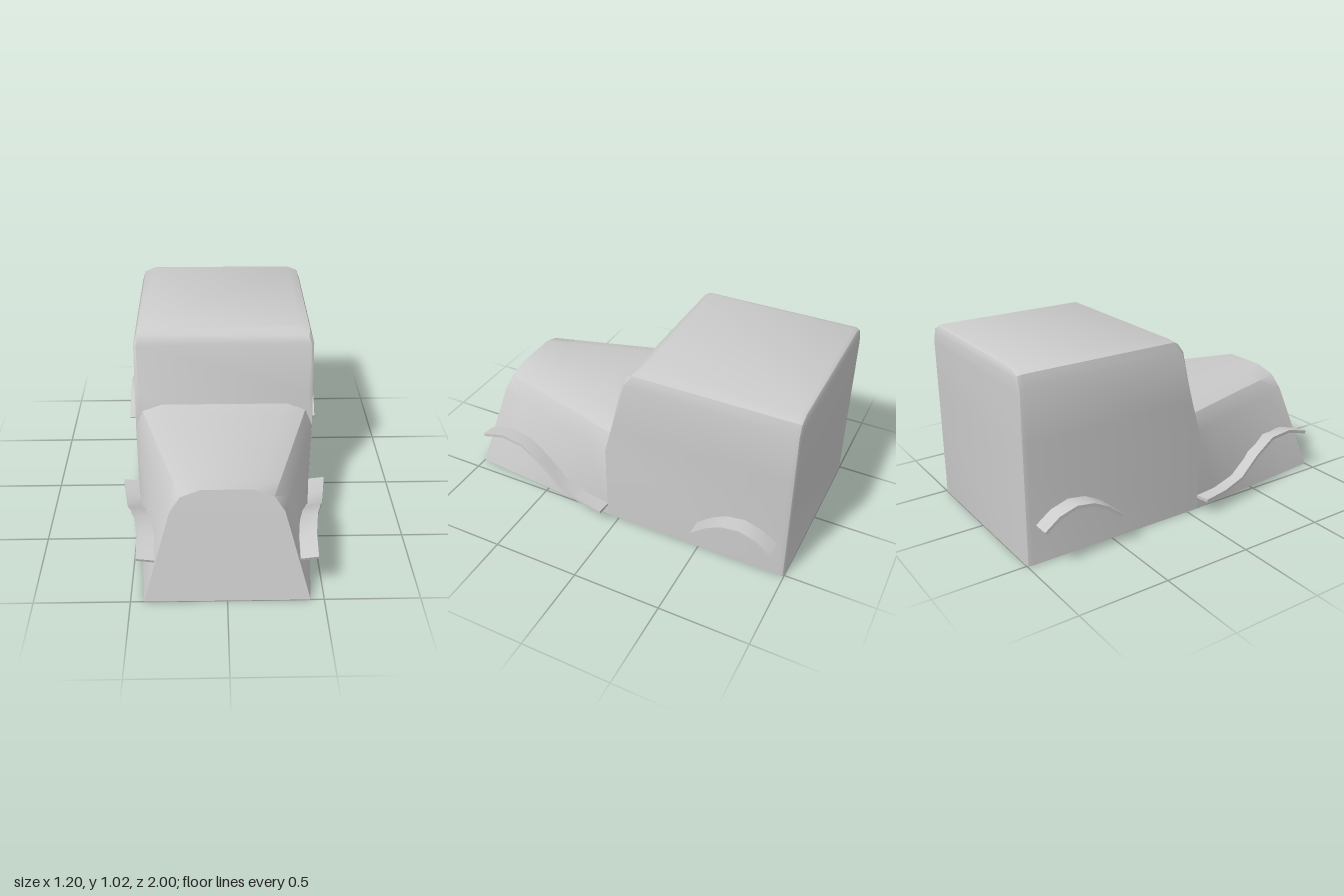
import * as THREE from 'three';
import { toCreasedNormals } from 'three/addons/utils/BufferGeometryUtils.js';

const material = new THREE.MeshStandardMaterial({ color: 0xcccccc });

// Skin over rings of [x, y, z] points, ordered back to front, each counterclockwise seen from +z.
function loft(name, rings, crease = 0.6) {
  const n = rings[0].length;
  const pos = [];
  const quad = (a, b, c, d) => pos.push(...a, ...b, ...c, ...a, ...c, ...d);
  for (let r = 0; r < rings.length - 1; r++) {
    for (let i = 0; i < n; i++) {
      const j = (i + 1) % n;
      quad(rings[r][i], rings[r][j], rings[r + 1][j], rings[r + 1][i]);
    }
  }
  // End caps, in strips between opposite points
  const back = rings[0], front = rings[rings.length - 1];
  for (let i = 0; i < n / 2 - 1; i++) {
    quad(front[i], front[i + 1], front[n - 2 - i], front[n - 1 - i]);
    quad(back[n - 1 - i], back[n - 2 - i], back[i + 1], back[i]);
  }
  const geometry = new THREE.BufferGeometry();
  geometry.setAttribute('position', new THREE.Float32BufferAttribute(pos, 3));
  const mesh = new THREE.Mesh(toCreasedNormals(geometry, crease), material);
  mesh.name = name;
  return mesh;
}

// Right half of a section, bottom to top, completed by its mirror image
const mirrored = (half) => [...half, ...half.map(([x, y, z]) => [-x, y, z]).reverse()];

function cab() {
  const section = [[0.51, 0], [0.51, 0.47], [0.51, 0.65], [0.51, 0.94], [0.49, 1.0], [0.43, 1.025]];
  const rearRing = (z, inset) =>
    mirrored(section.map(([x, y]) => [x - inset, y > 0.9 ? y - inset : y, z]));
  // Sloped windscreen: the side edge, then the slightly inset face
  const sideZ = [0.07, 0.07, 0.02, -0.055, -0.095, -0.13];
  const edge = mirrored(section.map(([x, y], i) => [x, y, sideZ[i]]));
  const face = mirrored([
    [0.51, 0, 0.072], [0.51, 0.47, 0.072], [0.487, 0.66, 0.03],
    [0.495, 0.94, -0.04], [0.48, 0.985, -0.065], [0.43, 1.01, -0.1],
  ]);
  return loft('cab', [rearRing(-1, 0.022), rearRing(-0.992, 0.008), rearRing(-0.97, 0), edge, face]);
}

function hood() {
  const rear = [[0.51, 0, 0.07], [0.51, 0.47, 0.07], [0.47, 0.565, 0.045], [0.36, 0.602, 0.035]];
  const nose = [[0.43, 0, 1], [0.29, 0.485, 0.88], [0.235, 0.565, 0.86], [0.13, 0.602, 0.85]];
  const rings = [];
  for (let k = 0; k <= 6; k++) {
    rings.push(mirrored(rear.map((p, i) => p.map((v, a) => THREE.MathUtils.lerp(v, nose[i][a], k / 6)))));
  }
  return loft('hood', rings);
}

// Thin strip following [z, y, innerX, outerX] points, back to front
function fender(name, path, side, tilt) {
  const t = 0.018;
  const rings = path.map(([z, y, xi, xo], k) => {
    const a = path[Math.max(k - 1, 0)], b = path[Math.min(k + 1, path.length - 1)];
    const dz = b[0] - a[0], dy = b[1] - a[1], len = Math.hypot(dz, dy);
    const uz = (-dy / len) * t, uy = (dz / len) * t;
    const ring = [
      [side * xi, y - uy - tilt, z - uz], [side * xo, y - uy, z - uz],
      [side * xo, y, z], [side * xi, y - tilt, z],
    ];
    return side > 0 ? ring : ring.reverse();
  });
  return loft(name, rings);
}

export function createModel() {
  const model = new THREE.Group();
  model.name = 'car';
  model.add(cab(), hood());

  const frontPath = [
    [0.07, 0.095, 0.5, 0.602], [0.22, 0.1, 0.485, 0.578], [0.36, 0.132, 0.465, 0.555],
    [0.5, 0.225, 0.435, 0.525], [0.65, 0.287, 0.395, 0.49], [0.81, 0.287, 0.375, 0.467],
    [0.95, 0.247, 0.372, 0.464],
  ];
  const rearPath = [
    [-0.945, 0.218], [-0.86, 0.28], [-0.76, 0.31], [-0.66, 0.295], [-0.575, 0.25], [-0.49, 0.18],
  ].map(([z, y]) => [z, y, 0.49, 0.602]);

  for (const [label, side] of [['left', 1], ['right', -1]]) {
    model.add(fender(label + 'FrontFender', frontPath, side, 0.012));
    model.add(fender(label + 'RearFender', rearPath, side, 0));
  }
  return model;
}
